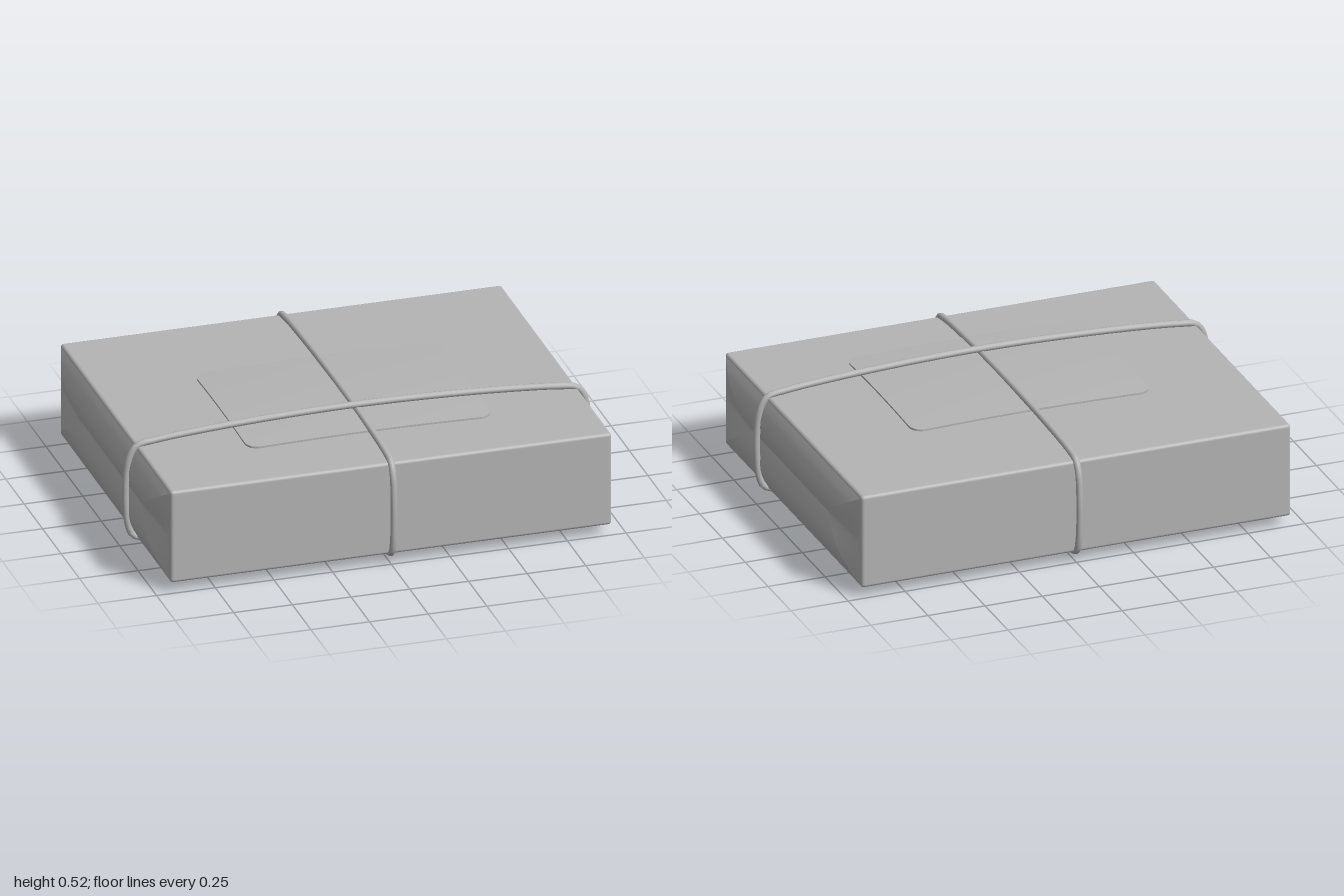
import * as THREE from 'three';
import { RoundedBoxGeometry } from 'three/addons/geometries/RoundedBoxGeometry.js';

const MID = 0.25; // height of the seam where the end flaps meet

// Smooth surface between two polylines with the same number of points
function loft(a, b) {
  const index = [];
  const n = a.length;
  for (let i = 0; i < n - 1; i++) {
    index.push(i, n + i, i + 1, i + 1, n + i, n + i + 1);
  }
  const g = new THREE.BufferGeometry();
  g.setAttribute('position', new THREE.Float32BufferAttribute([...a, ...b].flat(), 3));
  g.setIndex(index);
  g.computeVertexNormals();
  return g;
}

// Closed loop of string from its right half, mirrored; vertical plane x-y
function stringLoop(half) {
  const pts = half.map(([u, y]) => new THREE.Vector3(u, y, 0));
  const mirrored = half.slice(1, -1).reverse().map(([u, y]) => new THREE.Vector3(-u, y, 0));
  const curve = new THREE.CatmullRomCurve3([...pts, ...mirrored], true, 'centripetal');
  return new THREE.TubeGeometry(curve, 200, 0.014, 12, true);
}

// Thin sheet with rounded corners, gently arched in both directions
function labelGeometry(hx, hz, r) {
  const g = new THREE.BoxGeometry(hx * 2, 0.008, hz * 2, 48, 1, 36);
  const p = g.attributes.position;
  for (let i = 0; i < p.count; i++) {
    let x = p.getX(i), z = p.getZ(i);
    const qx = Math.abs(x) - (hx - r), qz = Math.abs(z) - (hz - r);
    if (qx > 0 && qz > 0) {
      const k = Math.max(qx, qz) / Math.hypot(qx, qz);
      x = Math.sign(x) * (hx - r + qx * k);
      z = Math.sign(z) * (hz - r + qz * k);
    }
    const arch = 0.018 * (1 - 0.5 * (x / hx) ** 2 - 0.5 * (z / hz) ** 2);
    p.setXYZ(i, x, p.getY(i) + arch, z);
  }
  g.computeVertexNormals();
  return g;
}

export function createModel() {
  const root = new THREE.Group();
  root.name = 'parcel';
  const grey = new THREE.MeshStandardMaterial({ color: 0xb4b4b4, side: THREE.DoubleSide });
  grey.name = 'plain grey';

  const add = (parent, name, geometry, x = 0, y = 0, z = 0) => {
    const mesh = new THREE.Mesh(geometry, grey);
    mesh.name = name;
    mesh.position.set(x, y, z);
    parent.add(mesh);
    return mesh;
  };

  // Wrapped box
  add(root, 'box', new RoundedBoxGeometry(1.88, 0.41, 1.5, 3, 0.014), 0, MID, 0);

  // Folded paper ends: two puffed flaps over two tucked triangles
  const steps = [...Array(17).keys()].map((i) => i / 16);
  const bulge = (t) => 0.938 + 0.014 * (1 - t) + 0.03 * Math.sin(Math.PI * t);
  const flapEdge = (up, side) =>
    steps.map((t) => [bulge(t), MID + up * 0.195 * t, side * (0.41 + 0.33 * t)]);

  for (const end of [1, -1]) {
    const fold = new THREE.Group();
    fold.name = end > 0 ? 'leftFoldedEnd' : 'rightFoldedEnd';
    fold.rotation.y = end > 0 ? 0 : Math.PI;
    root.add(fold);

    // Long flaps above and below the seam
    add(fold, 'upperFlap', loft(flapEdge(1, 1), flapEdge(1, -1)));
    add(fold, 'lowerFlap', loft(flapEdge(-1, -1), flapEdge(-1, 1)));

    // Tucked triangles beside them
    for (const side of [1, -1]) {
      const inner = [...flapEdge(-1, side).reverse(), ...flapEdge(1, side).slice(1)];
      const outer = inner.map(([, y]) => [0.938, y, side * 0.742]);
      add(fold, 'tuckedTriangle', side > 0 ? loft(outer, inner) : loft(inner, outer));
    }
  }

  // Label lying on top
  add(root, 'label', labelGeometry(0.522, 0.374, 0.055), 0, 0.466, 0.101);

  // String across the width
  add(root, 'crossString', stringLoop([
    [0, 0.511], [0.5, 0.498], [0.86, 0.472], [0.935, 0.458], [0.965, 0.42], [0.982, 0.34],
    [0.986, 0.22], [0.976, 0.11], [0.955, 0.06], [0.9, 0.04], [0.5, 0.025], [0, 0.014],
  ]), 0, 0, 0.285);

  // String from front to back
  const long = add(root, 'lengthString', stringLoop([
    [0, 0.491], [0.4, 0.485], [0.68, 0.469], [0.745, 0.455], [0.772, 0.41], [0.784, 0.32],
    [0.786, 0.22], [0.776, 0.11], [0.758, 0.06], [0.715, 0.04], [0.4, 0.035], [0, 0.033],
  ]));
  long.rotation.y = Math.PI / 2;

  return root;
}
